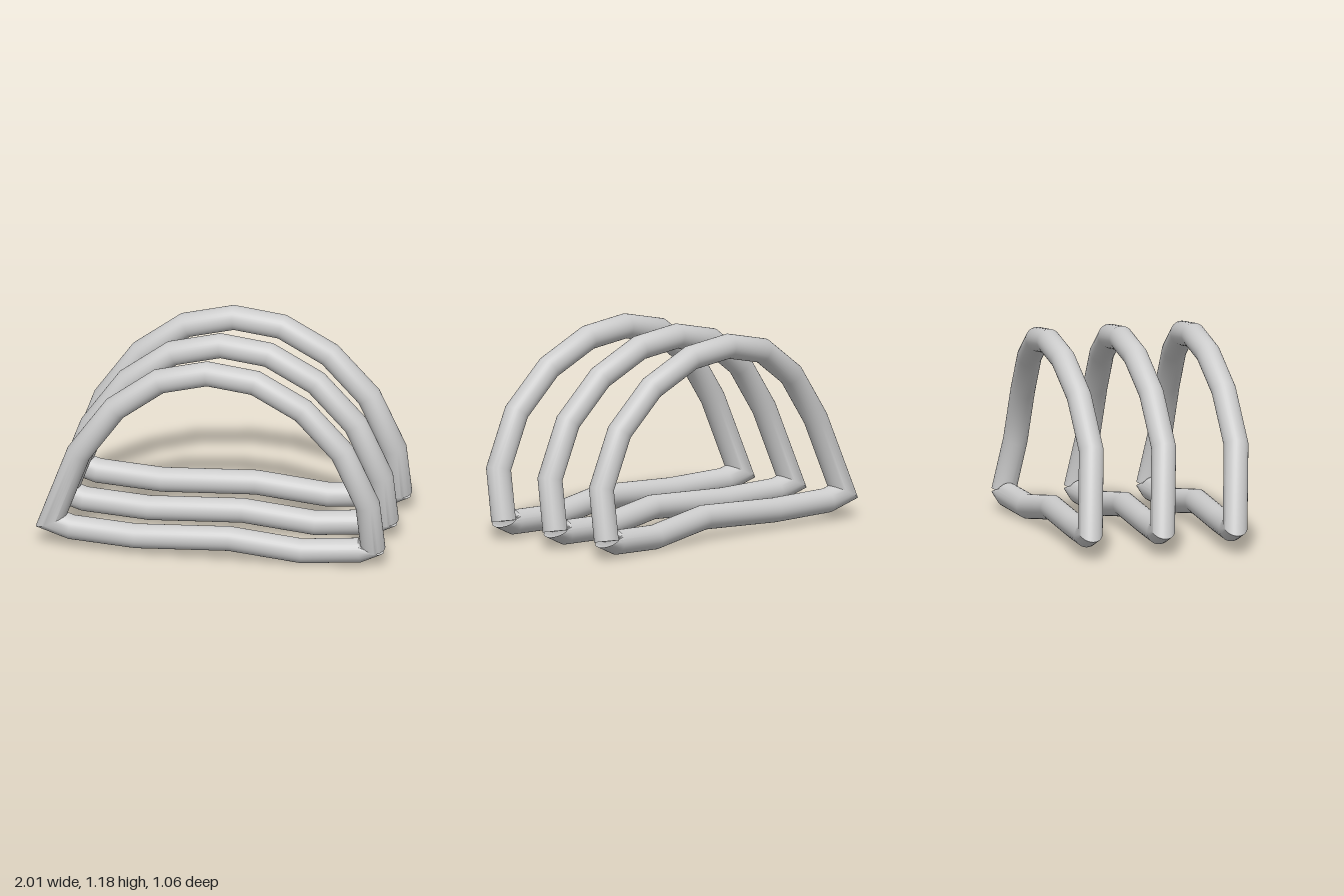
import * as THREE from 'three';
import { toCreasedNormals } from 'three/addons/utils/BufferGeometryUtils.js';

const RADIUS = 0.07;
const SIDES = 32;

// Centre line of one loop: over the arch, then back along the wavy base
const PATH = [
  [0.935, 0.105, -0.035], [0.915, 0.395, 0.028], [0.77, 0.705, 0.033],
  [0.54, 0.935, 0.01], [0.26, 1.075, -0.017], [-0.02, 1.107, -0.027],
  [-0.295, 1.045, -0.017], [-0.545, 0.87, 0.008], [-0.75, 0.59, 0.025],
  [-0.915, 0.15, -0.025], [-0.8, 0.115, -0.017], [-0.42, 0.103, 0.02],
  [0.12, 0.13, 0.03], [0.53, 0.073, 0.0], [0.86, 0.09, -0.03],
  [0.93, 0.104, -0.035],
].map((p) => new THREE.Vector3(...p));

// Straight tube segments with mitred joints and open ends
function mitredTube(points, endTangent) {
  const last = points.length - 1;
  const dir = (i) => points[i + 1].clone().sub(points[i]).normalize();
  const positions = [];
  const index = [];
  points.forEach((c, i) => {
    const isEnd = i === 0 || i === last;
    const d = i === last ? endTangent.clone().normalize() : dir(Math.max(i - 1, 0));
    const plane = isEnd ? d : d.clone().add(dir(i)).normalize();
    const u = new THREE.Vector3(0, 0, 1).addScaledVector(d, -d.z).normalize();
    const v = d.clone().cross(u);
    for (let s = 0; s < SIDES; s++) {
      const a = (s / SIDES) * Math.PI * 2;
      const q = u.clone().multiplyScalar(RADIUS * Math.cos(a)).addScaledVector(v, RADIUS * Math.sin(a));
      // slide along the segment onto the mitre plane
      if (!isEnd) q.addScaledVector(d, -q.dot(plane) / d.dot(plane));
      q.add(c);
      positions.push(q.x, q.y, q.z);
      if (i < last) {
        const n = (s + 1) % SIDES;
        const A = i * SIDES + s, B = i * SIDES + n;
        index.push(A, B, B + SIDES, A, B + SIDES, A + SIDES);
      }
    }
  });
  const g = new THREE.BufferGeometry();
  g.setAttribute('position', new THREE.Float32BufferAttribute(positions, 3));
  g.setIndex(index);
  return toCreasedNormals(g, 0.6);
}

export function createModel() {
  const group = new THREE.Group();
  group.name = 'archedLoops';
  const material = new THREE.MeshStandardMaterial({ color: 0xcccccc, side: THREE.DoubleSide });
  const geometry = mitredTube(PATH, new THREE.Vector3(0.35, 0.94, 0));

  // Three identical loops in a row
  ['backLoop', 'middleLoop', 'frontLoop'].forEach((name, i) => {
    const loop = new THREE.Mesh(geometry, material);
    loop.name = name;
    loop.position.z = (i - 1) * 0.425;
    group.add(loop);
  });
  return group;
}
